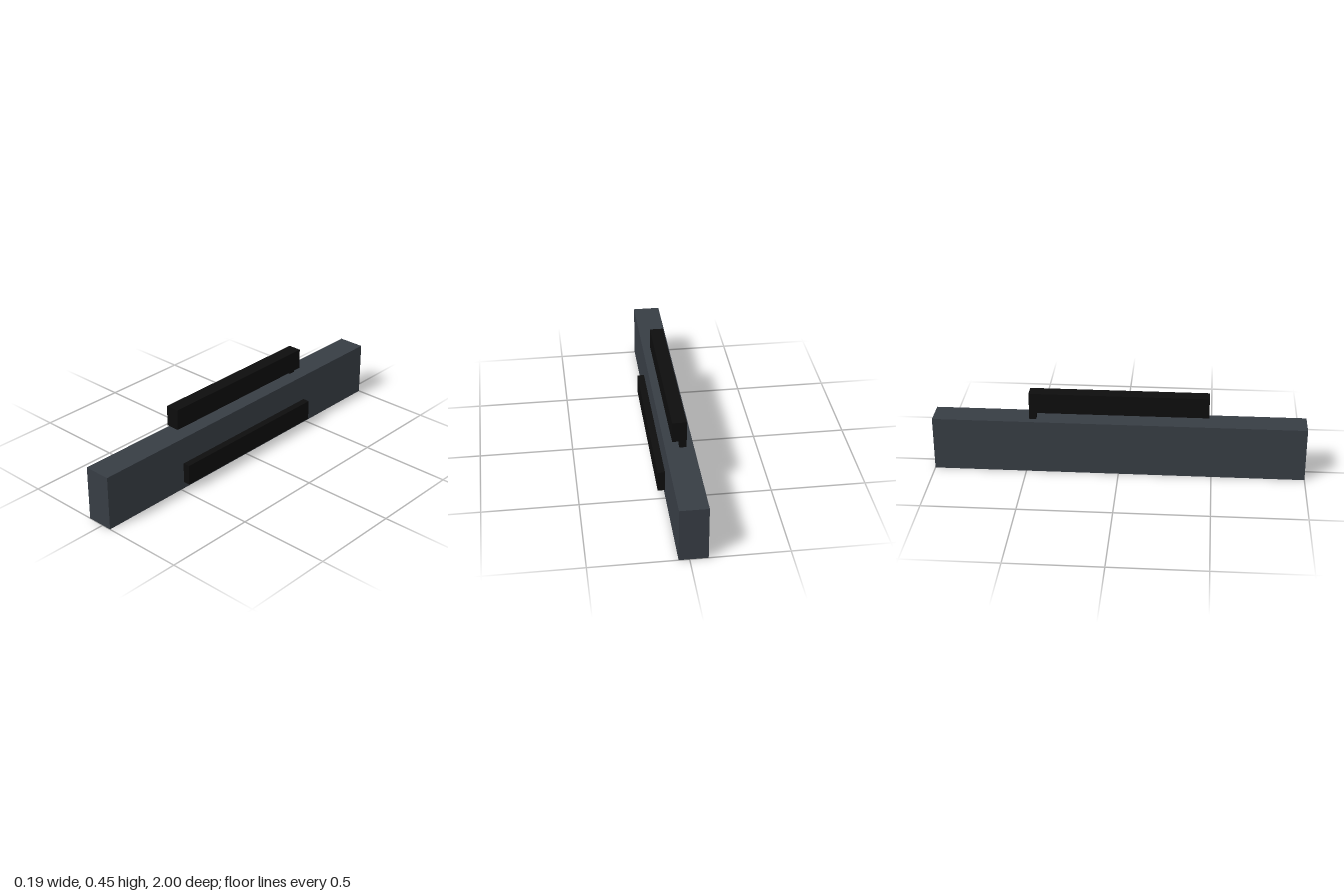
import * as THREE from 'three';

export function createModel() {
  const model = new THREE.Group();
  const slate = new THREE.MeshStandardMaterial({ color: 0x373d44 });
  slate.name = 'slate grey';
  const black = new THREE.MeshStandardMaterial({ color: 0x0d0d0d });
  black.name = 'black';

  // Box given by its extents on each axis
  const addBox = (name, material, [x0, x1], [y0, y1], [z0, z1]) => {
    const mesh = new THREE.Mesh(new THREE.BoxGeometry(x1 - x0, y1 - y0, z1 - z0), material);
    mesh.position.set((x0 + x1) / 2, (y0 + y1) / 2, (z0 + z1) / 2);
    mesh.name = name;
    model.add(mesh);
  };

  const barLength = [-0.48, 0.48];

  // Long main beam
  addBox('beam', slate, [-0.093, 0.054], [0, 0.297], [-1, 1]);
  // Raised bar, carried by one small post at its back end
  addBox('topBar', black, [-0.056, 0.018], [0.334, 0.446], barLength);
  addBox('topBarPost', black, [-0.056, -0.019], [0.297, 0.334], [-0.48, -0.443]);
  // Bar fixed to the left side of the beam
  addBox('sideBar', black, [0.054, 0.092], [0.037, 0.149], barLength);

  return model;
}
